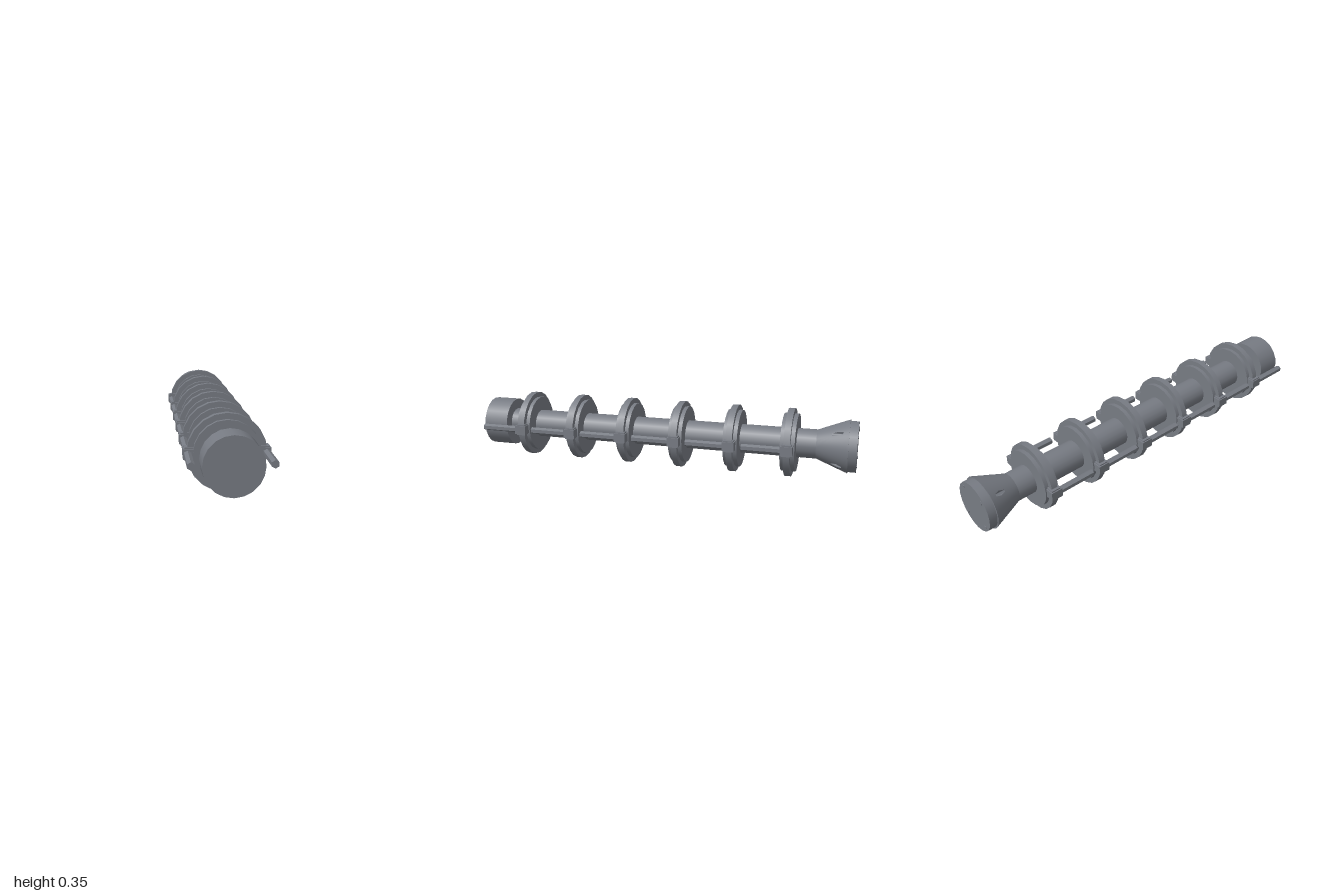
import * as THREE from 'three';
import { ParametricGeometry } from 'three/addons/geometries/ParametricGeometry.js';

const AXIS_Y = 0.173;
const SIDES = 20;
const color = 0x777b83;
const metal = new THREE.MeshStandardMaterial({ color });
const thin = new THREE.MeshStandardMaterial({ color, side: THREE.DoubleSide });
const faceted = new THREE.MeshStandardMaterial({ color, flatShading: true });

function add(parent, name, geometry, material = metal) {
  const mesh = new THREE.Mesh(geometry, material);
  mesh.name = name;
  parent.add(mesh);
  return mesh;
}

// Cylinder lying along z, between two z positions
function drum(radius, z0, z1, sides = SIDES) {
  return new THREE.CylinderGeometry(radius, radius, z1 - z0, sides)
    .rotateX(Math.PI / 2).translate(0, 0, (z0 + z1) / 2);
}

// Flared tail: four conical quadrants, each pierced by a hexagonal hole parallel to the axis
const FLARE = { z0: -0.8, z1: -0.956, r0: 0.0735, r1: 0.134 };
const HOLE = { r: 0.112, size: 0.012, floor: -0.985 };
const flareZ = r => FLARE.z0 + (FLARE.z1 - FLARE.z0) * (r - FLARE.r0) / (FLARE.r1 - FLARE.r0);

// Point on the hexagonal rim as [angle, radius] around the axis
function holeRim(u) {
  const k = Math.floor(u * 6 + 1e-9), f = u * 6 - k;
  const corner = i => [Math.cos(i * Math.PI / 3), Math.sin(i * Math.PI / 3)];
  const a = corner(k), b = corner(k + 1);
  const s = HOLE.size * (a[0] + (b[0] - a[0]) * f);
  const q = HOLE.r + HOLE.size * (a[1] + (b[1] - a[1]) * f);
  return [Math.atan2(s, q), Math.hypot(s, q)];
}

// Point on the border of one quadrant as [angle, radius]
function quadrantBorder(u) {
  const c = Math.cos(u * 2 * Math.PI), s = Math.sin(u * 2 * Math.PI);
  const m = Math.max(Math.abs(c), Math.abs(s)), q = s / m;
  const reach = q > 0 ? FLARE.r1 - HOLE.r : HOLE.r - FLARE.r0;
  return [c / m * Math.PI / 4, HOLE.r + q * reach];
}

function flareQuadrant(u, v, target) {
  const a = quadrantBorder(1 - u), b = holeRim(1 - u);
  const angle = a[0] + (b[0] - a[0]) * v, r = a[1] + (b[1] - a[1]) * v;
  target.set(r * Math.cos(angle), r * Math.sin(angle), flareZ(r));
}

function holeWall(u, v, target) {
  const [angle, r] = holeRim(u);
  target.set(r * Math.cos(angle), r * Math.sin(angle), flareZ(r) + (HOLE.floor - flareZ(r)) * v);
}

function makeTail() {
  const tail = new THREE.Group();
  tail.name = 'flaredTail';
  // Short collar behind the flare, with a small step at its edge
  add(tail, 'tailCollar', new THREE.CylinderGeometry(0.127, 0.127, 0.041, SIDES, 1, true)
    .rotateX(Math.PI / 2).translate(0, 0, -0.9765), thin);
  add(tail, 'tailStep', new THREE.RingGeometry(0.126, FLARE.r1, SIDES)
    .rotateY(Math.PI).translate(0, 0, FLARE.z1), thin);
  add(tail, 'tailEndPlate', new THREE.CircleGeometry(0.127, SIDES)
    .rotateY(Math.PI).translate(0, 0, -0.997), thin);
  for (let i = 0; i < 4; i++) {
    const quarter = new THREE.Group();
    quarter.name = 'flareQuarter';
    quarter.rotation.z = Math.PI / 4 + i * Math.PI / 2;
    add(quarter, 'flareSkin', new ParametricGeometry(flareQuadrant, 24, 6), thin);
    add(quarter, 'boltHole', new ParametricGeometry(holeWall, 24, 1), thin);
    add(quarter, 'boltHoleFloor', new THREE.CircleGeometry(HOLE.size, 6, Math.PI / 6)
      .translate(HOLE.r, 0, HOLE.floor), thin);
    add(quarter, 'boltTip', drum(0.01, -1, -0.991, 6).translate(0.106, 0, 0), faceted);
    tail.add(quarter);
  }
  return tail;
}

// Flanged disc with a clamp and a forward-pointing hexagonal rod on each side
function makeRing() {
  const ring = new THREE.Group();
  ring.name = 'flangedRing';
  add(ring, 'ringHub', drum(0.147, -0.036, 0.036));
  add(ring, 'ringFlange', drum(0.173, -0.016, 0.016));
  for (const side of [-1, 1]) {
    const clamp = new THREE.Group();
    clamp.name = side > 0 ? 'leftClamp' : 'rightClamp';
    // Two crossing blocks: a tall one and a longer, lower one
    add(clamp, 'clampTallBlock', new THREE.BoxGeometry(0.047, 0.057, 0.048)).position.x = side * 0.1585;
    add(clamp, 'clampLongBlock', new THREE.BoxGeometry(0.053, 0.045, 0.06)).position.x = side * 0.1615;
    add(clamp, 'clampRod', drum(0.0175, 0, 0.222, 6), faceted).position.x = side * 0.169;
    ring.add(clamp);
  }
  return ring;
}

export function createModel() {
  const model = new THREE.Group();
  model.name = 'ringedBarrel';
  model.position.y = AXIS_Y;

  add(model, 'mainTube', drum(0.0735, -0.8, 0.9));
  add(model, 'frontCap', drum(0.128, 0.867, 1));
  model.add(makeTail());

  for (let i = 0; i < 6; i++) {
    const ring = makeRing();
    ring.position.z = -0.668 + i * 0.2845;
    model.add(ring);
  }

  const root = new THREE.Group();
  root.name = 'model';
  root.add(model);
  return root;
}
